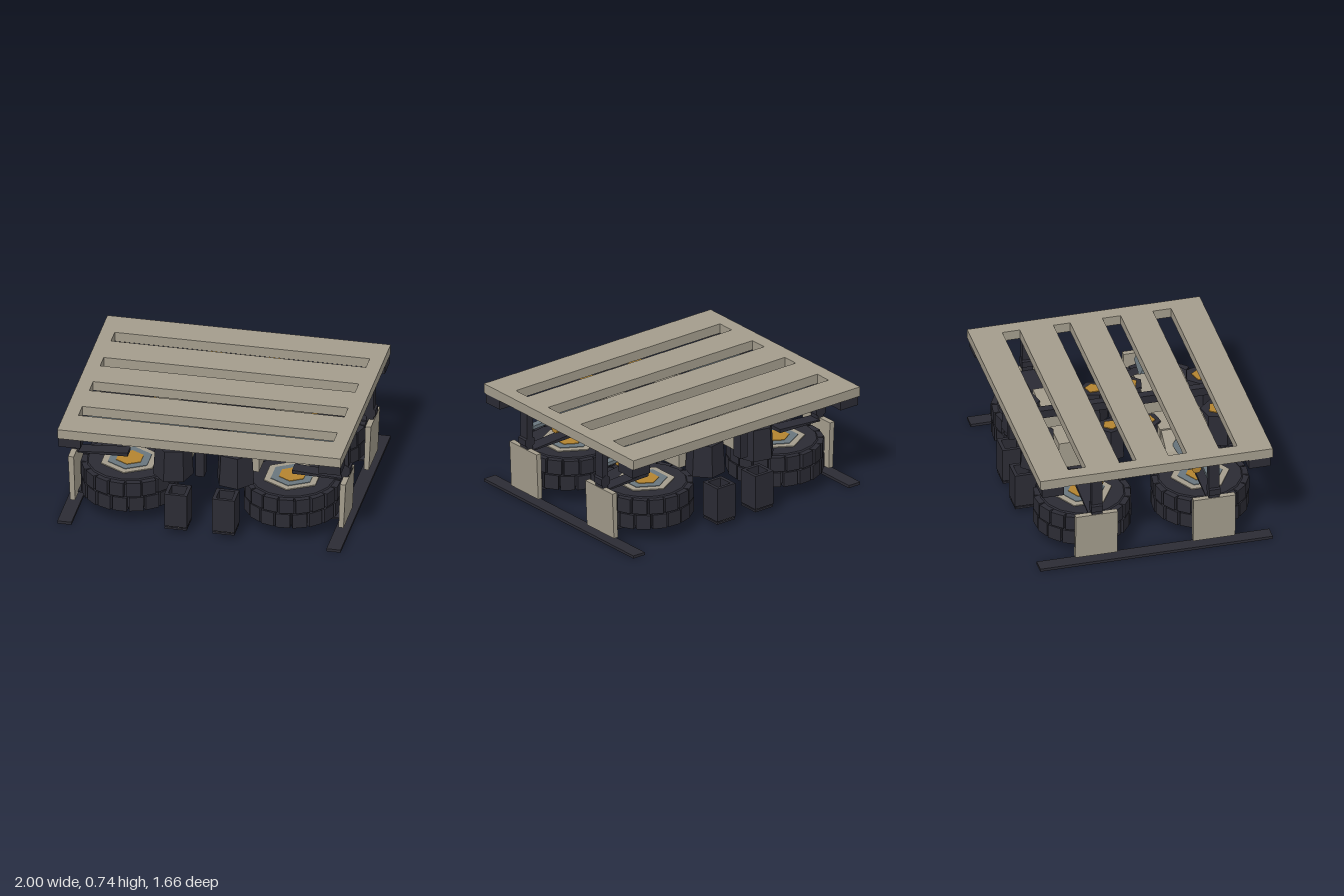
import * as THREE from 'three';

const mat = (name, color) => Object.assign(new THREE.MeshStandardMaterial({ color, flatShading: true }), { name });

export function createModel() {
  const beige = mat('beige', 0xa39c8c);
  const dark = mat('charcoal', 0x2b2b34);
  const steel = mat('steel blue', 0x69767d);
  const gold = mat('gold', 0xb38430);
  const model = new THREE.Group();

  const add = (parent, name, geo, material, x = 0, y = 0, z = 0) => {
    const mesh = new THREE.Mesh(geo, material);
    mesh.name = name;
    mesh.position.set(x, y, z);
    parent.add(mesh);
    return mesh;
  };
  // box given by its limits
  const box = (parent, name, m, x0, x1, y0, y1, z0, z1) =>
    add(parent, name, new THREE.BoxGeometry(x1 - x0, y1 - y0, z1 - z0), m, (x0 + x1) / 2, (y0 + y1) / 2, (z0 + z1) / 2);
  const prism = (parent, name, m, r, h, sides, x, y, z, r2 = r) =>
    add(parent, name, new THREE.CylinderGeometry(r, r2, h, sides), m, x, y, z);
  const rect = (S, x0, x1, y0, y1) => {
    const s = new S();
    s.moveTo(x0, y0).lineTo(x1, y0).lineTo(x1, y1).lineTo(x0, y1).closePath();
    return s;
  };
  // outline in x and y, thickened along z about zero
  const slab = (pts, depth) => new THREE.ExtrudeGeometry(
    new THREE.Shape(pts.map(p => new THREE.Vector2(...p))), { depth, bevelEnabled: false }).translate(0, 0, -depth / 2);

  // slotted deck
  const deck = rect(THREE.Shape, -1, 1, -0.83, 0.83);
  for (const [a, b] of [[-0.6, -0.47], [-0.24, -0.11], [0.12, 0.24], [0.48, 0.605]])
    deck.holes.push(rect(THREE.Path, -0.9, 0.9, a, b));
  const deckGeo = new THREE.ExtrudeGeometry(deck, { depth: 0.07, bevelEnabled: false }).rotateX(-Math.PI / 2);
  add(model, 'deck', deckGeo, beige, 0, 0.67, 0);

  // centre beam with end posts
  box(model, 'centreBeam', dark, -0.03, 0.03, 0.61, 0.67, -0.8, 0.8);
  for (const s of [1, -1])
    add(model, 'centrePost', new THREE.BoxGeometry(0.06, 0.2, 0.08), dark, 0, 0.57, s * 0.76);

  // ground skids
  for (const s of [1, -1])
    add(model, 'groundRail', new THREE.BoxGeometry(0.1, 0.02, 1.66), dark, s * 0.95, 0.01, 0);

  const wheel = () => {
    const g = new THREE.Group();
    g.name = 'wheel';
    const profile = [[0, -0.118], [0.29, -0.118], [0.318, -0.09], [0.318, 0.09], [0.29, 0.118], [0, 0.118]]
      .map(p => new THREE.Vector2(...p));
    add(g, 'tyre', new THREE.LatheGeometry(profile, 16), dark);
    // staggered tread blocks in two rows
    for (let row = 0; row < 2; row++)
      for (let i = 0; i < 18; i++) {
        const a = (i + row * 0.2) / 18 * Math.PI * 2;
        const lug = add(g, 'treadBlock', new THREE.BoxGeometry(0.1, 0.105, 0.045), dark,
          Math.sin(a) * 0.312, row ? 0.057 : -0.057, Math.cos(a) * 0.312);
        lug.rotation.y = a + 0.06;
      }
    // stepped hub on both faces
    prism(g, 'hubRing', beige, 0.21, 0.25, 6, 0, 0, 0);
    prism(g, 'hubPlate', steel, 0.16, 0.258, 6, 0, 0, 0);
    prism(g, 'hubCap', gold, 0.1, 0.266, 6, 0, 0, 0);
    return g;
  };

  for (const sx of [1, -1]) for (const sz of [1, -1]) {
    // each corner is built at +x, +z and placed by mirrored coordinates
    const c = new THREE.Group();
    c.name = 'cornerAssembly';
    c.scale.set(sx, 1, sz);
    model.add(c);

    box(c, 'cornerPad', dark, 0.84, 0.995, 0.6, 0.67, 0.66, 0.815);
    const w = wheel();
    w.position.set(0.575, 0.217, 0.42);
    c.add(w);

    // tapered leg plate
    add(c, 'legPlate', slab([[0.93, 0.05], [0.965, 0.05], [0.98, 0.39], [0.94, 0.39]], 0.3), beige, 0, 0, 0.42);

    // hanger post with knuckle
    box(c, 'hangerPost', dark, 0.925, 0.975, 0.37, 0.67, 0.38, 0.455);
    const knuckle = prism(c, 'knuckle', dark, 0.045, 0.08, 6, 0.95, 0.44, 0.42);
    knuckle.rotation.x = Math.PI / 2;

    // blades above and below the wheel
    const blade = [[0.58, 0.035], [0.93, 0.06], [0.93, 0.07], [0.58, 0.062]];
    add(c, 'lowerBlade', slab(blade, 0.1), dark, 0, 0, 0.42);
    add(c, 'upperBlade', slab(blade.map(([x, y]) => [x, 0.442 - y]), 0.1), dark, 0, 0, 0.42);

    // steel links and actuator
    add(c, 'upperLink', slab([[0.1, 0.62], [0.84, 0.6], [0.9, 0.63], [0.84, 0.65], [0.1, 0.64]], 0.05), steel, 0, 0, 0.36);
    add(c, 'lowerLink', slab([[0.5, 0.55], [0.93, 0.53], [0.93, 0.555], [0.5, 0.58]], 0.05), steel, 0, 0, 0.4);
    const actuator = prism(c, 'actuator', steel, 0.065, 0.26, 6, 0.58, 0.51, 0.32, 0.035);
    actuator.rotation.z = Math.PI / 2 - 0.1;
    const tip = prism(c, 'actuatorTip', gold, 0.035, 0.06, 6, 0.73, 0.5, 0.35);
    tip.rotation.z = Math.PI / 2;

    // beige bracket and slanted arm towards the wheel
    box(c, 'bracket', beige, 0.13, 0.36, 0.4, 0.6, 0.19, 0.53);
    add(c, 'slantedArm', slab([[0.36, 0.42], [0.55, 0.42], [0.5, 0.5], [0.36, 0.59]], 0.16), beige, 0, 0, 0.28);

    // faceted motors with gold end caps
    for (const [r, x, z] of [[0.14, 0.22, 0.645], [0.105, 0.24, 0.13]]) {
      const motor = new THREE.Group();
      motor.name = 'motor';
      motor.position.set(x, 0.5, z);
      motor.rotation.y = 0.3;
      c.add(motor);
      prism(motor, 'motorBody', dark, r * 0.9, 0.23, 6, 0, 0, 0, r);
      prism(motor, 'motorCap', gold, r * 0.55, 0.242, 5, 0, 0, 0);
    }

    // open-topped bin with foot
    const wall = rect(THREE.Shape, -0.08, 0.08, -0.08, 0.08);
    wall.holes.push(rect(THREE.Path, -0.055, 0.055, -0.055, 0.055));
    const wallGeo = new THREE.ExtrudeGeometry(wall, { depth: 0.25, bevelEnabled: false }).rotateX(-Math.PI / 2);
    add(c, 'binWalls', wallGeo, dark, 0.168, 0.06, 0.735);
    box(c, 'binFloor', dark, 0.11, 0.225, 0.06, 0.2, 0.678, 0.792);
    box(c, 'binRim', beige, 0.1, 0.235, 0.052, 0.06, 0.668, 0.802);
    box(c, 'binFoot', dark, 0.09, 0.246, 0.038, 0.052, 0.66, 0.812);
  }
  return model;
}
